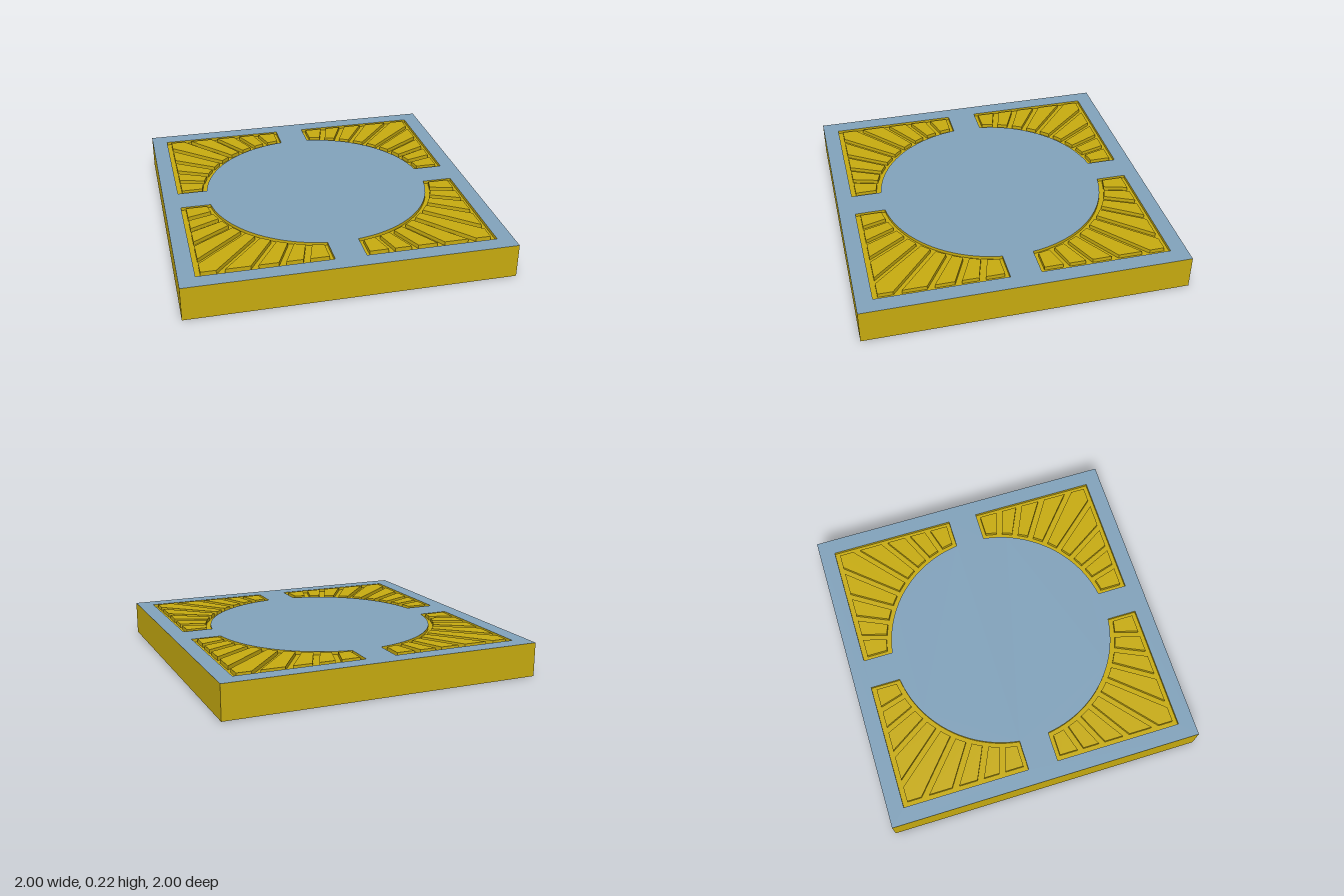
import * as THREE from 'three';

const SLAB_TOP = 0.213, POCKET_FLOOR = 0.193, RIB_TOP = 0.2175;
const POCKET_R = 0.717, POCKET_IN = 0.095, POCKET_OUT = 0.9;
const RIB_R = 0.747, RIB_OUT = 0.87, RIB_EDGE = 0.12, GAP = 0.019;

// rotate a list of plan points by quarter turns
const turn = (pts, k) => pts.map(p => p.clone().rotateAround(new THREE.Vector2(), k * Math.PI / 2));
const swap = p => new THREE.Vector2(p.y, p.x);

// points on an arc between two angles measured from the y axis
function arc(r, a, b, n) {
  return Array.from({ length: n + 1 }, (_, i) => {
    const t = a + (b - a) * i / n;
    return new THREE.Vector2(r * Math.sin(t), r * Math.cos(t));
  });
}

// extrude a plan shape upward from y0 to y1
function slab(shape, y0, y1) {
  const g = new THREE.ExtrudeGeometry(shape, { depth: y1 - y0, bevelEnabled: false });
  return g.rotateX(-Math.PI / 2).translate(0, y0, 0);
}

// corner pocket outline: square corner cut by the central disc
function pocketOutline() {
  const a = Math.asin(POCKET_IN / POCKET_R);
  return [
    ...arc(POCKET_R, a, Math.PI / 2 - a, 24),
    new THREE.Vector2(POCKET_OUT, POCKET_IN),
    new THREE.Vector2(POCKET_OUT, POCKET_OUT),
    new THREE.Vector2(POCKET_IN, POCKET_OUT),
  ];
}

// radial rib outlines in one corner, mirrored about the diagonal
function ribOutlines() {
  const step = Math.PI / 22;
  const innerAngle = ([t, s]) => t + Math.asin(s / RIB_R);
  const outer = ([t, s]) => new THREE.Vector2(RIB_OUT * Math.tan(t) + s / Math.cos(t), RIB_OUT);
  const ribs = [];
  for (let i = 1; i <= 4; i++) {
    const from = i === 1 ? [0, RIB_EDGE] : [i * step, GAP];
    const to = [(i + 1) * step, -GAP];
    const rib = [...arc(RIB_R, innerAngle(from), innerAngle(to), 3), outer(to), outer(from)];
    ribs.push(rib, rib.map(swap));
  }
  const mid = [5 * step, GAP];
  const a = innerAngle(mid);
  ribs.push([
    ...arc(RIB_R, a, Math.PI / 2 - a, 3),
    swap(outer(mid)), new THREE.Vector2(RIB_OUT, RIB_OUT), outer(mid),
  ]);
  return ribs;
}

export function createModel() {
  const yellow = new THREE.MeshStandardMaterial({ color: 0xc8ac10 });
  yellow.name = 'mustard yellow';
  const blue = new THREE.MeshStandardMaterial({ color: 0x82a3bc });
  blue.name = 'grey blue';

  const model = new THREE.Group();
  model.name = 'patternedTile';
  const add = (name, geometry, material, parent = model) => {
    const mesh = new THREE.Mesh(geometry, material);
    mesh.name = name;
    parent.add(mesh);
  };

  // base block, whose top forms the pocket floors
  add('base', new THREE.BoxGeometry(2, POCKET_FLOOR, 2).translate(0, POCKET_FLOOR / 2, 0), yellow);

  // top layer with four pockets: blue face, yellow edges
  const top = new THREE.Shape([[-1, -1], [1, -1], [1, 1], [-1, 1]].map(p => new THREE.Vector2(...p)));
  for (let k = 0; k < 4; k++) top.holes.push(new THREE.Path(turn(pocketOutline(), k)));
  add('topLayer', slab(top, POCKET_FLOOR, SLAB_TOP), [blue, yellow]);

  // fan of raised ribs in every pocket
  for (let k = 0; k < 4; k++) {
    const fan = new THREE.Group();
    fan.name = 'ribFan';
    for (const rib of ribOutlines())
      add('rib', slab(new THREE.Shape(turn(rib, k)), POCKET_FLOOR, RIB_TOP), yellow, fan);
    model.add(fan);
  }
  return model;
}
